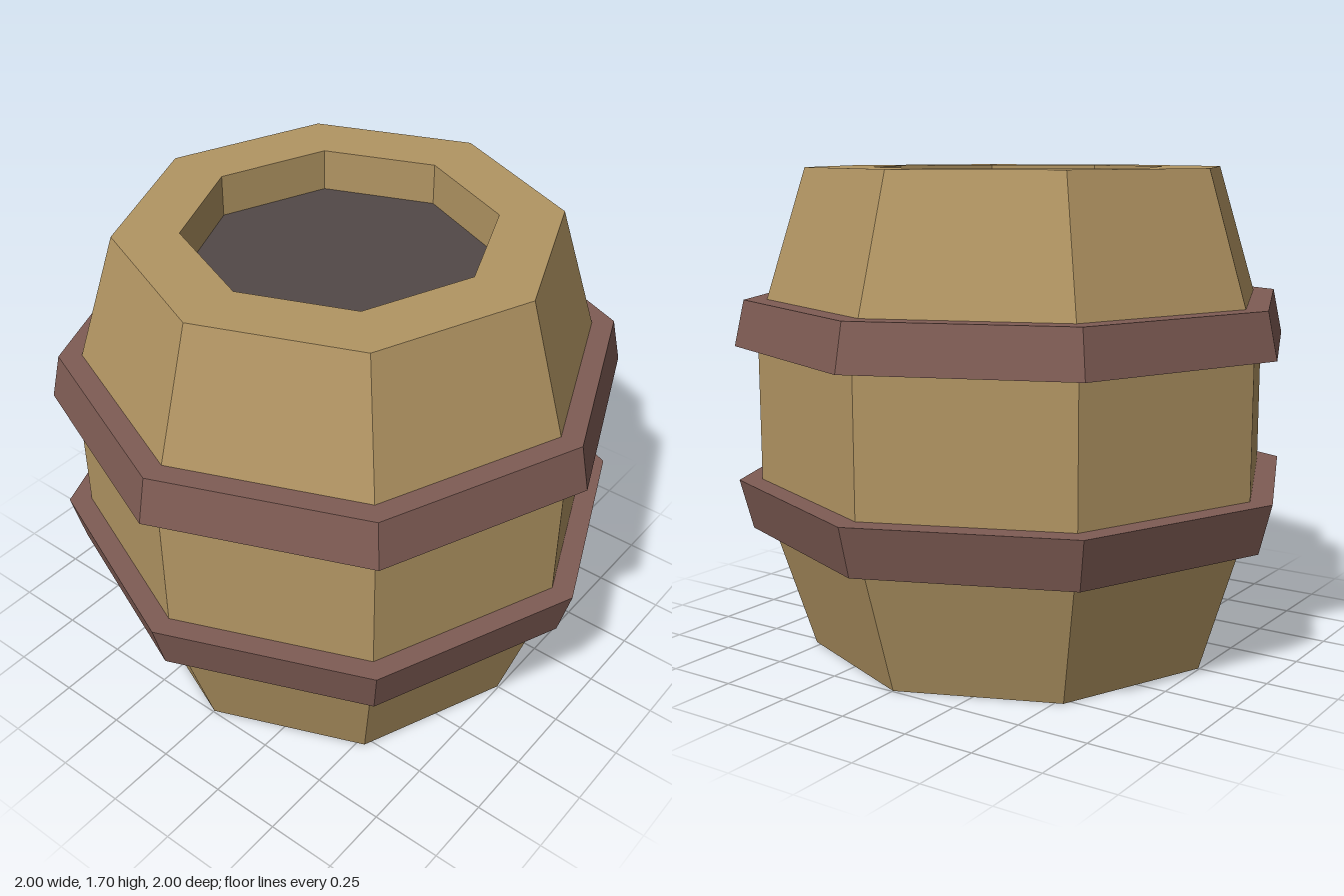
import * as THREE from 'three';

const SIDES = 8;

const paint = (color) => new THREE.MeshStandardMaterial({ color, flatShading: true });

// Eight-sided turned part from [radius, height] pairs, listed bottom, outside, top
function turned(name, profile, material) {
  const points = profile.map(([r, y]) => new THREE.Vector2(r, y));
  const mesh = new THREE.Mesh(new THREE.LatheGeometry(points, SIDES), material);
  mesh.name = name;
  return mesh;
}

export function createModel() {
  const barrel = new THREE.Group();
  barrel.name = 'barrel';

  const wood = paint(0xb29563);
  const iron = paint(0x7f5c54);
  const dark = paint(0x524947);

  // Body: flat base, bulging staves, thick rim and the wall of the recess
  barrel.add(turned('body', [
    [0, 0], [0.745, 0], [0.92, 0.55], [0.92, 1.14],
    [0.745, 1.7], [0.525, 1.7], [0.525, 1.55],
  ], wood));

  // Hoops: each narrows away from the middle of the barrel
  barrel.add(turned('lowerHoop', [[0.87, 0.44], [0.955, 0.44], [1, 0.615], [0.91, 0.615]], iron));
  barrel.add(turned('upperHoop', [[0.91, 1.09], [1, 1.09], [0.965, 1.25], [0.87, 1.25]], iron));

  // Sunken surface inside the rim
  const contents = new THREE.Mesh(new THREE.CircleGeometry(0.525, SIDES), dark);
  contents.name = 'contents';
  contents.rotation.x = -Math.PI / 2;
  contents.position.y = 1.55;
  barrel.add(contents);

  return barrel;
}
